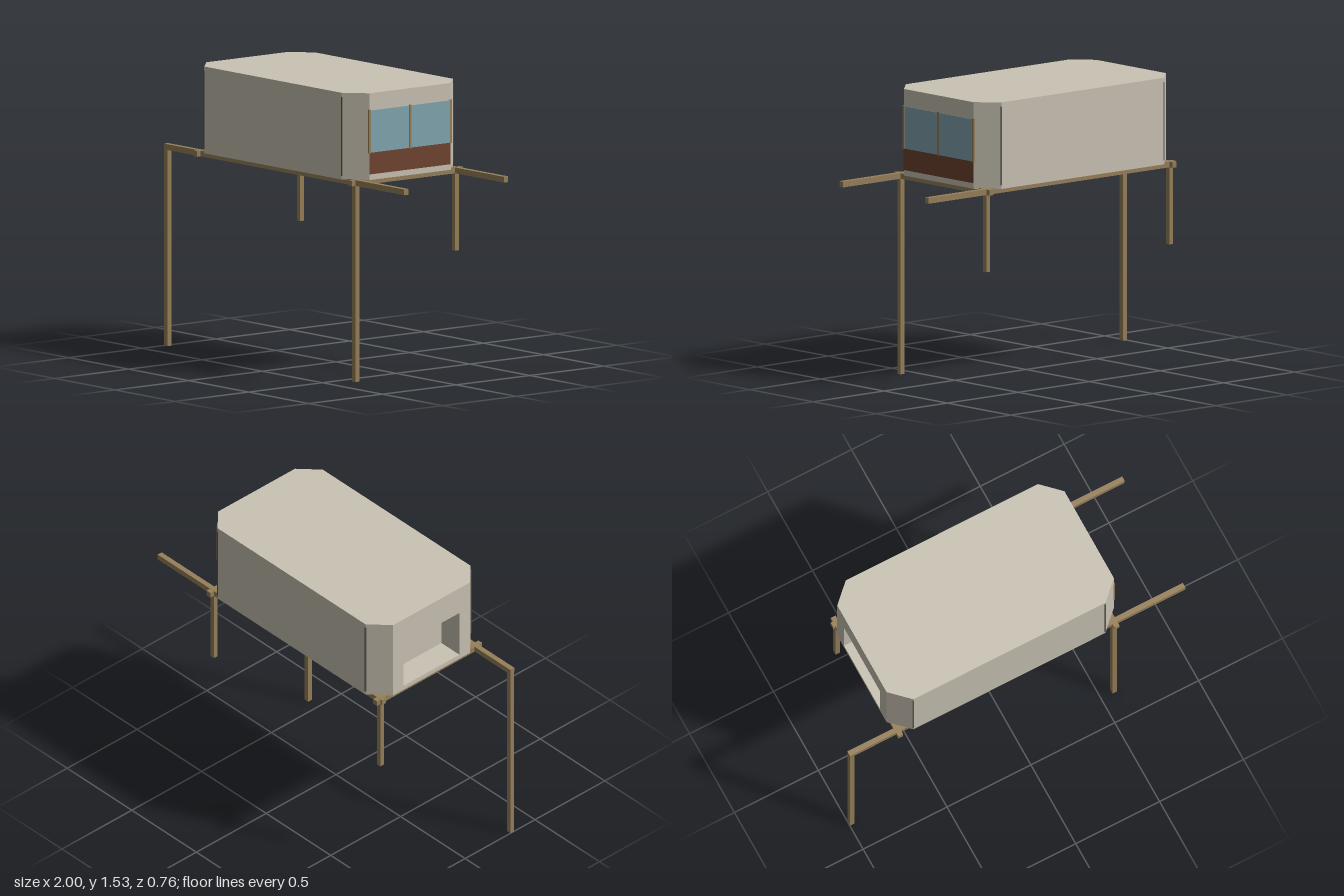
import * as THREE from 'three';

const mat = (name, color) => {
  const m = new THREE.MeshStandardMaterial({ color });
  m.name = name;
  return m;
};

export function createModel() {
  const cream = mat('cream wall', 0xc9c3b3);
  const timber = mat('timber', 0x97805a);
  const glass = mat('blue glass', 0x82a7b0);
  const brown = mat('brown panel', 0x70432f);
  const seam = mat('dark seam', 0x5a564c);

  const model = new THREE.Group();
  model.name = 'raisedCabin';

  // Box given by its limits on each axis
  const box = (name, material, x0, x1, y0, y1, z0, z1) => {
    const mesh = new THREE.Mesh(new THREE.BoxGeometry(x1 - x0, y1 - y0, z1 - z0), material);
    mesh.position.set((x0 + x1) / 2, (y0 + y1) / 2, (z0 + z1) / 2);
    mesh.name = name;
    model.add(mesh);
  };

  // Cabin: stacked layers of a chamfered plan, the middle one notched for the doorway
  const L = -0.74, R = 0.615, D = 0.377, E = 0.275, FL = -0.635, FR = 0.51;
  const doorLow = 1.095, doorHigh = 1.37, doorHalf = 0.2, doorDepth = 0.14;
  const layer = (name, y0, y1, notched) => {
    const plan = [[FL, -D], [FR, -D], [R, -E], [R, E], [FR, D], [FL, D], [L, E]];
    if (notched) {
      plan.push([L, doorHalf], [L + doorDepth, doorHalf], [L + doorDepth, -doorHalf], [L, -doorHalf]);
    }
    plan.push([L, -E]);
    const shape = new THREE.Shape(plan.map(([x, y]) => new THREE.Vector2(x, y)));
    const geo = new THREE.ExtrudeGeometry(shape, { depth: y1 - y0, bevelEnabled: false });
    geo.rotateX(-Math.PI / 2);
    const mesh = new THREE.Mesh(geo, cream);
    mesh.position.y = y0;
    mesh.name = name;
    model.add(mesh);
  };
  layer('cabinFloor', 1.07, doorLow, false);
  layer('cabinWalls', doorLow, doorHigh, true);
  layer('cabinRoof', doorHigh, 1.532, false);

  // Seams where the long walls meet the chamfered corners
  for (const x of [FL, FR]) {
    for (const s of [-1, 1]) {
      const z = s * (D - 0.002);
      box('cornerSeam', seam, x - 0.004, x + 0.004, 1.09, 1.51, z - 0.003, z + 0.003);
    }
  }

  // Window end: brown panel, glass and mullions
  box('endPanel', brown, R - 0.002, R + 0.002, 1.1, 1.215, -E, E);
  box('windowGlass', glass, R - 0.002, R + 0.002, 1.215, 1.44, -E, E);
  for (const z of [-E, 0, E]) {
    box('windowMullion', timber, R - 0.004, R + 0.005, 1.212, 1.445, z - 0.006, z + 0.006);
  }

  // Beams under the cabin
  const h = 0.0145, low = 1.044, top = 1.075, front = 0.338, back = -0.338;
  box('frontBeam', timber, -1, 1, low, top, front - h, front + h);
  box('backBeam', timber, -0.738, 1, low, top, back - h, back + h);
  for (const x of [-0.71, 0.58]) {
    box('crossBeam', timber, x - h, x + h, low, top - 0.001, -0.377, 0.377);
  }

  // Posts: tall at the front, short at the back
  const post = (name, x, z, bottom) =>
    box(name, timber, x - 0.0135, x + 0.0135, bottom, 1.06, z - 0.0135, z + 0.0135);
  post('frontPost', -0.986, front, 0);
  post('frontPost', 0.58, front, 0);
  post('backPost', -0.71, back, 0.632);
  post('backPost', 0.58, back, 0.632);

  return model;
}
